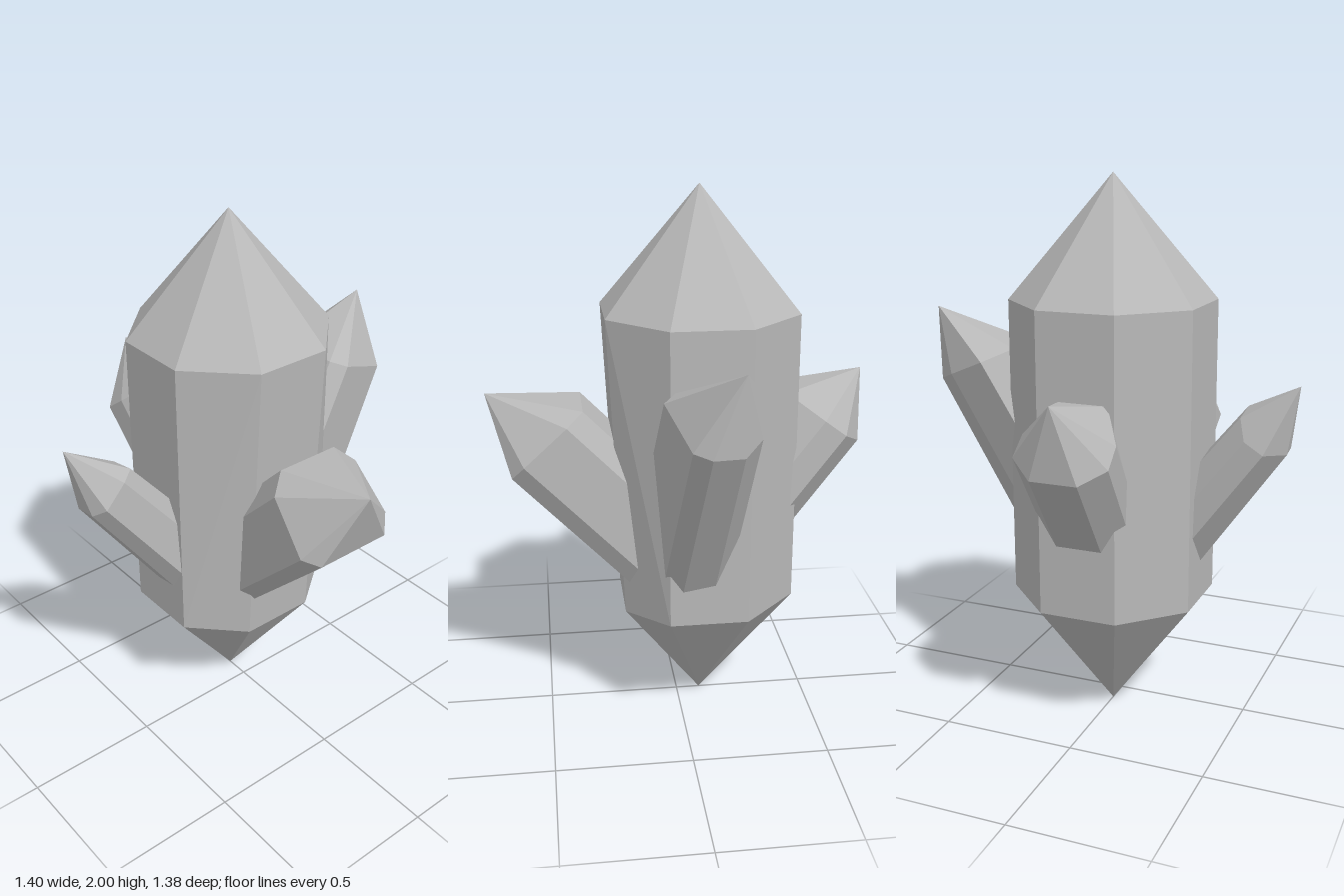
import * as THREE from 'three';
import { ConvexGeometry } from 'three/addons/geometries/ConvexGeometry.js';

const stone = new THREE.MeshStandardMaterial({ color: 0xb8b8b8 });
stone.name = 'grey crystal';

const V = (p) => new THREE.Vector3(...p);

function addCrystal(group, name, points) {
  const mesh = new THREE.Mesh(new ConvexGeometry(points), stone);
  mesh.name = name;
  group.add(mesh);
}

// Pointed shard: a tip, the shoulder ring, and the ring swept back into the core
function addShard(group, name, { tip, ring, sweep, flare }) {
  const shoulder = ring.map(V);
  const centre = new THREE.Vector3();
  shoulder.forEach((p) => centre.addScaledVector(p, 1 / shoulder.length));
  const root = shoulder.map((p) => p.clone().sub(centre).multiplyScalar(flare).add(centre).add(V(sweep)));
  addCrystal(group, name, [V(tip), ...shoulder, ...root]);
}

const shards = {
  leftShard: {
    tip: [0.70, 1.255, 0.05], sweep: [-0.5, -0.5, -0.05], flare: 1,
    ring: [[0.35, 1.225, 0.125], [0.40, 1.17, 0.195], [0.56, 1.01, 0.215], [0.61, 0.985, 0.165],
      [0.61, 0.985, -0.13], [0.565, 1.04, -0.175], [0.41, 1.18, -0.17], [0.35, 1.225, -0.12]],
  },
  rightShard: {
    tip: [-0.70, 1.31, 0.035], sweep: [0.38, -0.47, -0.04], flare: 1,
    ring: [[-0.40, 1.25, -0.07], [-0.40, 1.25, 0.11], [-0.52, 1.15, 0.19], [-0.60, 1.09, 0.195],
      [-0.68, 1.05, 0.12], [-0.68, 1.05, -0.05], [-0.61, 1.10, -0.143], [-0.53, 1.16, -0.145]],
  },
  frontShard: {
    tip: [-0.105, 1.305, 0.695], sweep: [0.03, -0.55, -0.42], flare: 1.25,
    ring: [[-0.105, 1.06, 0.655], [-0.025, 1.065, 0.65], [0.025, 1.10, 0.62], [0.02, 1.18, 0.54],
      [-0.015, 1.20, 0.49], [-0.12, 1.18, 0.49], [-0.175, 1.11, 0.52], [-0.185, 1.07, 0.59]],
  },
  backShard: {
    tip: [-0.135, 1.505, -0.685], sweep: [0.05, -0.72, 0.42], flare: 1.12,
    ring: [[-0.03, 1.23, -0.69], [-0.135, 1.23, -0.68], [-0.205, 1.265, -0.60], [-0.26, 1.33, -0.445],
      [-0.165, 1.37, -0.36], [0.05, 1.36, -0.375], [0.095, 1.34, -0.425], [0.03, 1.245, -0.655]],
  },
};

export function createModel() {
  const group = new THREE.Group();
  group.name = 'crystalCluster';

  // Double-pointed octagonal core, its lower left side slightly cut in
  const core = [V([-0.08, 2, 0]), V([-0.09, 0, 0])];
  for (let i = 0; i < 8; i++) {
    const a = (i + 0.5) * Math.PI / 4;
    const x = -0.079 + 0.374 * Math.cos(a);
    const z = 0.374 * Math.sin(a);
    const cut = x > 0.2;
    core.push(V([x, 1.56, z]), V([cut ? 0.21 : x, cut ? 0.435 : 0.47, z]));
  }
  addCrystal(group, 'coreCrystal', core);

  // Shards leaning outwards on all four sides
  for (const [name, shape] of Object.entries(shards)) addShard(group, name, shape);
  return group;
}
